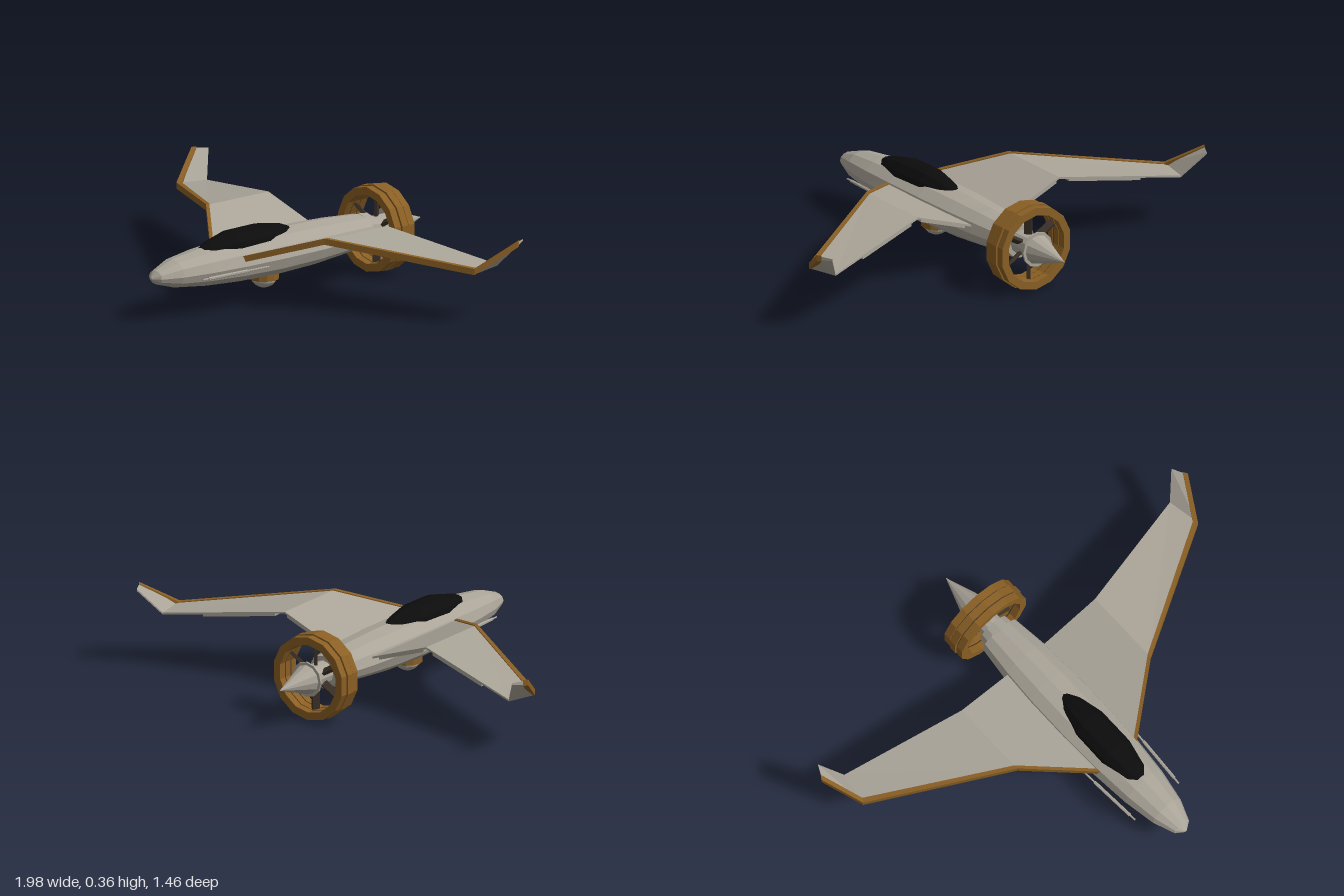
import * as THREE from 'three';

const material = (name, color) => {
  const m = new THREE.MeshStandardMaterial({ color, flatShading: true });
  m.name = name;
  return m;
};

// Closed solid through equal-length rings of [x, y, z]; faces always end up pointing outward.
function loft(rings) {
  const n = rings[0].length, faces = [];
  const p = rings.flat().map(a => new THREE.Vector3(...a));
  for (let r = 0; r < rings.length - 1; r++) {
    for (let i = 0; i < n; i++) {
      const a = r * n + i, b = r * n + (i + 1) % n;
      faces.push([a, b, b + n], [a, b + n, a + n]);
    }
  }
  const last = (rings.length - 1) * n;
  for (let i = 1; i < n - 1; i++) faces.push([0, i + 1, i], [last, last + i, last + i + 1]);
  const volume = faces.reduce((s, [a, b, c]) => s + p[a].dot(p[b].clone().cross(p[c])), 0);
  if (volume < 0) faces.forEach(f => f.reverse());
  const geo = new THREE.BufferGeometry().setFromPoints(faces.flat().map(i => p[i]));
  geo.computeVertexNormals();
  return geo;
}

// Ellipse ring across z; separate radii for the upper and lower half
const oval = (z, y, rx, up, down, n) => Array.from({ length: n }, (_, i) => {
  const a = i / n * Math.PI * 2, s = Math.sin(a);
  return [Math.cos(a) * rx, y + s * (s > 0 ? up : down), z];
});

export function createModel() {
  const model = new THREE.Group();
  const hull = material('hull grey', 0xaaa498);
  const brass = material('brass', 0x8a5f24);
  const glass = material('canopy black', 0x0c0c0c);
  const dark = material('dark metal', 0x3a3026);

  const add = (name, geo, mat, x = 0, y = 0, z = 0) => {
    const mesh = new THREE.Mesh(geo, mat);
    mesh.name = name;
    mesh.position.set(x, y, z);
    model.add(mesh);
    return mesh;
  };
  const alongZ = (front, back, len, sides) =>
    new THREE.CylinderGeometry(front, back, len, sides).rotateX(Math.PI / 2);

  // Fuselage: [z, half width, height above, depth below]
  const body = [
    [0.725, 0.006, 0.005, 0.005], [0.7, 0.04, 0.03, 0.027], [0.61, 0.075, 0.063, 0.055],
    [0.47, 0.1, 0.08, 0.073], [0.3, 0.115, 0.09, 0.085], [0.1, 0.122, 0.092, 0.091],
    [-0.1, 0.12, 0.09, 0.085], [-0.25, 0.11, 0.084, 0.073], [-0.405, 0.092, 0.072, 0.058],
  ];
  add('fuselage', loft(body.map(([z, w, u, d]) => oval(z, 0.18, w, u, d, 12))), hull);

  // Canopy
  const bubble = [[0.453, 0.03, 0.035], [0.42, 0.052, 0.05], [0.3, 0.077, 0.079],
    [0.14, 0.077, 0.08], [0.03, 0.05, 0.06], [-0.02, 0.025, 0.04]];
  add('canopy', loft(bubble.map(([z, w, u]) => oval(z, 0.23, w, u, 0.02, 12))), glass);

  // Tail hub, flange and spinner
  add('tailHub', alongZ(0.075, 0.07, 0.045, 12), hull, 0, 0.18, -0.42);
  add('driveShaft', alongZ(0.05, 0.05, 0.13, 12), hull, 0, 0.18, -0.49);
  add('spinnerFlange', alongZ(0.074, 0.074, 0.008, 12), hull, 0, 0.18, -0.552);
  add('spinner', alongZ(0.062, 0.001, 0.175, 12), hull, 0, 0.18, -0.6425);

  // Ducted ring of three bands on a thinner core
  const band = (inner, outer, depth) => {
    const h = depth / 2;
    const profile = [[inner, -h], [outer, -h], [outer, h], [inner, h], [inner, -h]];
    return new THREE.LatheGeometry(profile.map(([r, y]) => new THREE.Vector2(r, y)), 14)
      .toNonIndexed().rotateX(Math.PI / 2);
  };
  add('ringCore', band(0.147, 0.17, 0.1), dark, 0, 0.18, -0.4925);
  [[-0.4555, 0.177], [-0.4925, 0.181], [-0.5295, 0.177]].forEach(([z, r]) =>
    add('ringBand', band(0.144, r, 0.032), brass, 0, 0.18, z));

  // Propeller blades inside the ring
  for (let i = 0; i < 6; i++) {
    const blade = new THREE.BoxGeometry(0.014, 0.1, 0.03).rotateY(0.6).translate(0, 0.098, 0);
    add('propellerBlade', blade.rotateZ(i * Math.PI / 3), dark, 0, 0.18, -0.4925);
  }

  // Belly turret
  add('turretCollar', new THREE.CylinderGeometry(0.062, 0.062, 0.025, 12), brass, 0, 0.088, 0.115);
  const dome = new THREE.SphereGeometry(0.052, 12, 4, 0, Math.PI * 2, Math.PI / 2, Math.PI / 2);
  add('turretDome', dome.scale(1, 0.8, 1), hull, 0, 0.08, 0.115);

  // Gull wing: leading and trailing edge stations
  const lead = [[0.09, 0.206, 0.315], [0.36, 0.298, 0.1], [0.905, 0.222, -0.225], [0.99, 0.326, -0.382]];
  const trail = [[0.09, 0.206, -0.247], [0.36, 0.3, -0.23], [0.88, 0.222, -0.36], [0.955, 0.328, -0.435]];
  const mix = (a, b, t) => a.map((v, i) => v + (b[i] - v) * t);

  for (const side of [1, -1]) {
    const word = side > 0 ? 'left' : 'right';
    const pt = ([x, y, z], dy = 0, dz = 0, dx = 0) => [side * (x + dx), y + dy, z + dz];
    const skin = lead.map((l, i) => {
      const t = trail[i], dx = i === 3 ? -0.008 : 0;
      return [pt(l, 0.009, 0, dx), pt(t, 0.004), pt(t, -0.004), pt(l, -0.009, 0, dx)];
    });
    add(word + 'Wing', loft(skin), hull);

    // Brass strip along the leading edge
    const strip = lead.map((l, i) => {
      const dx = i > 1 ? -0.012 : 0;
      return [pt(l, 0.013, 0.008), pt(l, 0.013, -0.01, dx), pt(l, -0.013, -0.01, dx), pt(l, -0.013, 0.008)];
    });
    add(word + 'LeadingEdge', loft(strip), brass);

    // Flaps under the trailing edge: [panel, start, end]
    for (const [k, a, b] of [[0, 0.15, 0.95], [1, 0.08, 0.67]]) {
      const flap = [a, b].map(s => {
        const t = mix(trail[k], trail[k + 1], s), l = mix(lead[k], lead[k + 1], s);
        const f = mix(t, l, 0.25);
        return [pt(f, -0.004), pt(t, -0.004), pt(t, -0.014), pt(f, -0.01)];
      });
      add(word + 'Flap', loft(flap), hull);
    }

    // Side gun with a thicker sleeve
    const barrel = add(word + 'GunBarrel', alongZ(0.004, 0.004, 0.34, 6), hull, side * 0.128, 0.168, 0.38);
    const sleeve = add(word + 'GunSleeve', alongZ(0.007, 0.007, 0.2, 6), hull, side * 0.126, 0.168, 0.42);
    barrel.rotation.y = sleeve.rotation.y = -side * 0.06;
  }
  return model;
}
